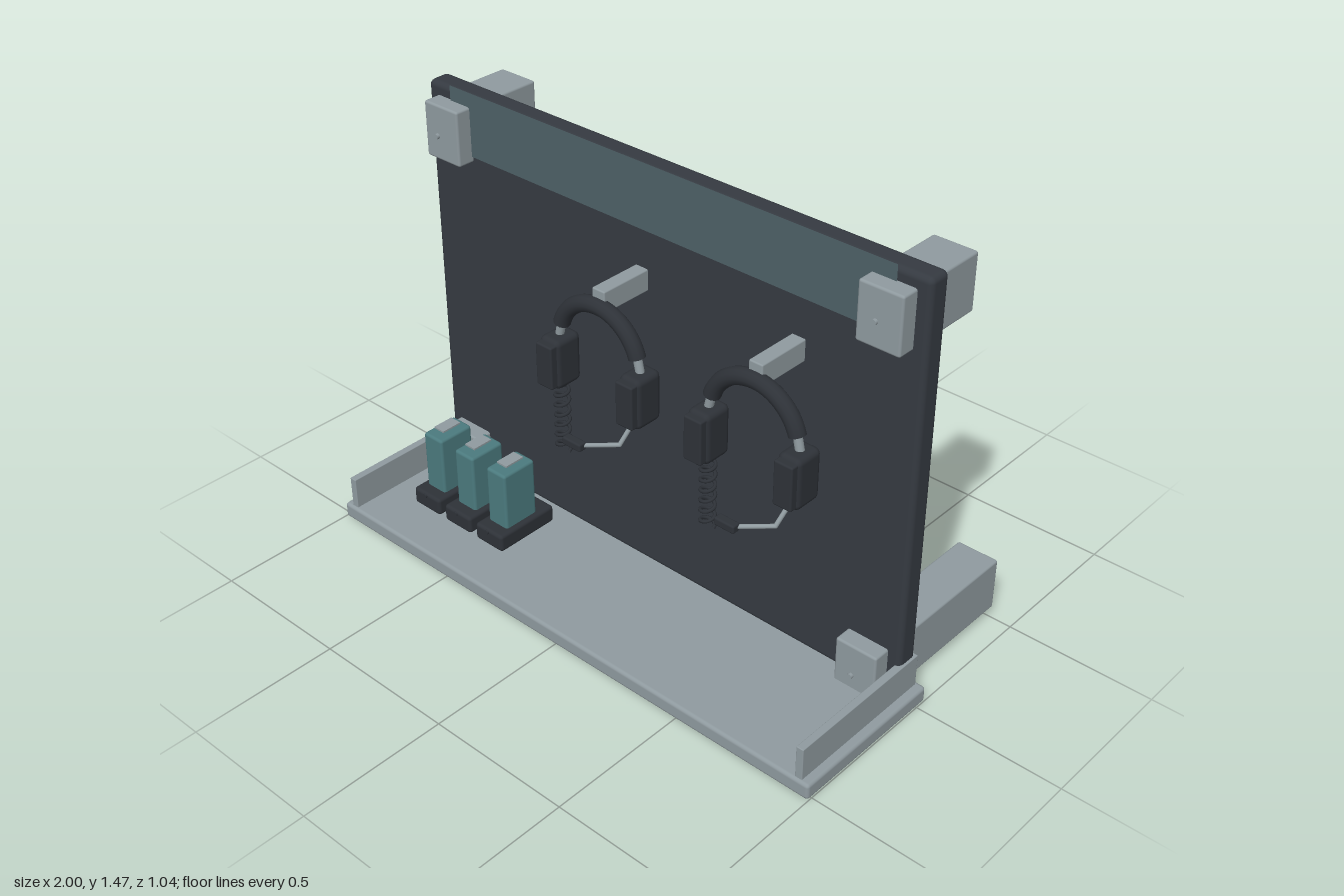
import * as THREE from 'three';
import { RoundedBoxGeometry } from 'three/addons/geometries/RoundedBoxGeometry.js';

const mat = (name, color, extra = {}) => {
  const m = new THREE.MeshStandardMaterial({ color, ...extra });
  m.name = name;
  return m;
};

export function createModel() {
  const grey = mat('lightGrey', 0x8f9a9f);
  const dark = mat('charcoal', 0x353a41);
  const black = mat('darkPlastic', 0x2e3238);
  const teal = mat('teal', 0x4b7a7e);
  const band = mat('headerTeal', 0x4e6167, { side: THREE.DoubleSide });
  const model = new THREE.Group();
  model.name = 'headsetDisplayBoard';

  const add = (parent, name, geo, material, x = 0, y = 0, z = 0) => {
    const mesh = new THREE.Mesh(geo, material);
    mesh.name = name;
    mesh.position.set(x, y, z);
    parent.add(mesh);
    return mesh;
  };
  // Rounded box given by its extents on each axis
  const box = (parent, name, material, [x0, x1], [y0, y1], [z0, z1], r = 0.008) =>
    add(parent, name, new RoundedBoxGeometry(x1 - x0, y1 - y0, z1 - z0, 2, r), material,
      (x0 + x1) / 2, (y0 + y1) / 2, (z0 + z1) / 2);
  // Straight rod between two points
  const rod = (parent, name, material, a, b, r) => {
    const p = new THREE.Vector3(...a), q = new THREE.Vector3(...b);
    const mesh = add(parent, name, new THREE.CylinderGeometry(r, r, p.distanceTo(q), 12), material);
    mesh.position.copy(p).add(q).multiplyScalar(0.5);
    mesh.quaternion.setFromUnitVectors(new THREE.Vector3(0, 1, 0), q.sub(p).normalize());
  };

  // Shelf, back panel and header strip
  box(model, 'shelf', grey, [-1, 1], [0, 0.056], [-0.042, 0.52], 0.012);
  box(model, 'backPanel', dark, [-0.962, 0.962], [0.045, 1.461], [-0.028, 0.053], 0.02);
  add(model, 'headerStrip', new THREE.PlaneGeometry(1.712, 0.217), band, 0, 1.362, 0.058);

  // Side rails, wall brackets and screws
  for (const s of [-1, 1]) {
    const x = s * 0.845;
    box(model, 'sideRail', grey, [s * 0.957 - 0.013, s * 0.957 + 0.013], [0.053, 0.167], [-0.03, 0.51], 0.003);
    box(model, 'upperBracket', grey, [x - 0.074, x + 0.074], [1.233, 1.42], [-0.226, 0.112]);
    box(model, 'lowerBracket', grey, [x - 0.074, x + 0.074], [0.026, 0.211], [-0.52, 0.112]);
    for (const y of [1.326, 0.118]) {
      const screw = add(model, 'screw', new THREE.CylinderGeometry(0.009, 0.009, 0.01, 12), grey, x, y, 0.132);
      screw.rotation.x = Math.PI / 2;
    }
  }

  // Charging units
  for (let i = 0; i < 3; i++) {
    const unit = new THREE.Group();
    unit.name = 'chargingUnit';
    unit.position.x = -0.757 + i * 0.15;
    model.add(unit);
    box(unit, 'dock', black, [-0.062, 0.062], [0.062, 0.125], [0.124, 0.364], 0.012);
    box(unit, 'battery', teal, [-0.043, 0.043], [0.11, 0.331], [0.184, 0.319], 0.01);
    add(unit, 'contactPlate', new THREE.BoxGeometry(0.044, 0.006, 0.075), grey, 0, 0.345, 0.251);
    const lamp = add(unit, 'lamp', new THREE.CylinderGeometry(0.008, 0.008, 0.006, 12), black, 0, 0.12, 0.37);
    lamp.rotation.x = Math.PI / 2;
  }

  // Headsets on their hooks
  const coilPoints = [];
  for (let i = 0; i <= 84; i++) {
    const a = (i / 12) * Math.PI * 2;
    coilPoints.push(new THREE.Vector3(Math.cos(a) * 0.022, 0.745 - (i / 84) * 0.252, Math.sin(a) * 0.022));
  }
  const coilGeo = new THREE.TubeGeometry(new THREE.CatmullRomCurve3(coilPoints), 168, 0.006, 6);
  const start = THREE.MathUtils.degToRad(17);
  const bandGeo = new THREE.TorusGeometry(0.16, 0.027, 12, 32, Math.PI - 2 * start).rotateZ(start);

  for (const x of [-0.053, 0.54]) {
    const set = new THREE.Group();
    set.name = 'headset';
    set.position.x = x;
    model.add(set);
    box(set, 'hook', grey, [-0.025, 0.025], [1.052, 1.125], [0.04, 0.239], 0.005);
    add(set, 'headband', bandGeo, black, 0, 0.91, 0.239);
    for (const s of [-1, 1]) {
      const ex = Math.cos(start) * 0.16, ey = 0.91 + Math.sin(start) * 0.16;
      // Closed end of the headband
      const cap = add(set, 'bandEnd', new THREE.CircleGeometry(0.027, 12), black, s * ex, ey, 0.239);
      cap.lookAt(s * (ex + Math.sin(start)), ey - Math.cos(start), 0.239);
      rod(set, 'sliderRod', grey, [s * 0.151, 0.97, 0.239], [s * 0.167, 0.9, 0.239], 0.014);
      box(set, 'earCup', black, [s * 0.164 - 0.04, s * 0.164 + 0.04], [0.744, 0.915], [0.188, 0.293], 0.02);
      box(set, 'earCupFace', black, [s * 0.164 - 0.033, s * 0.164 + 0.033], [0.755, 0.903], [0.28, 0.312], 0.006);
    }
    add(set, 'coiledCord', coilGeo, black, -0.164, 0, 0.239);
    // Microphone boom
    const elbow = [0.148, 0.688, 0.313], tip = [0.06, 0.684, 0.388];
    rod(set, 'boomUpper', grey, [0.163, 0.752, 0.27], elbow, 0.007);
    rod(set, 'boomLower', grey, elbow, tip, 0.007);
    add(set, 'boomElbow', new THREE.SphereGeometry(0.007, 10, 8), grey, ...elbow);
    box(set, 'microphone', black, [0, 0.073], [0.67, 0.697], [0.375, 0.405], 0.006);
  }
  return model;
}
